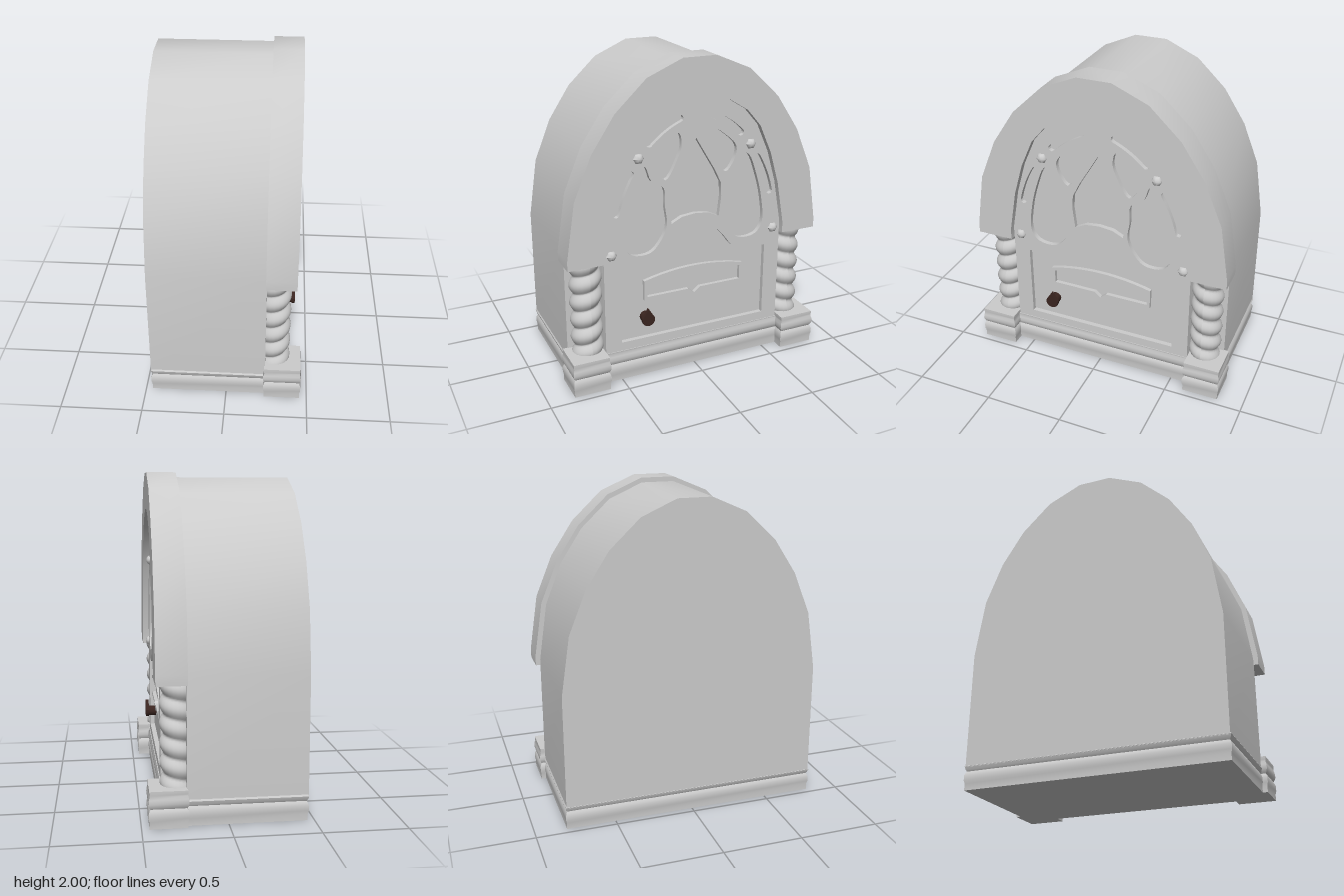
import * as THREE from 'three';
import { toCreasedNormals } from 'three/addons/utils/BufferGeometryUtils.js';

const grey = new THREE.MeshStandardMaterial({ color: 0xcccccc });
const brown = new THREE.MeshStandardMaterial({ color: 0x3a2520 });

const V = (pts) => pts.map(([x, y]) => new THREE.Vector2(x, y));
const mirror = (pts) => pts.map(([x, y]) => [-x, y]);
// Right half listed from bottom to top -> full symmetrical outline
const symmetric = (half) => [...half, ...mirror(half).reverse().filter(([x]) => x !== 0)];
const smooth = (pts, n = 24, closed = false) => {
  const c = new THREE.CatmullRomCurve3(pts.map(([x, y]) => new THREE.Vector3(x, y, 0)), closed);
  const out = c.getPoints(n).map((p) => [p.x, p.y]);
  if (closed) out.pop();
  return out;
};
// Rounded slot around a slightly bowed centre line
const slot = ([x0, y0], [x1, y1], r, bow) => {
  const dx = x1 - x0, dy = y1 - y0, len = Math.hypot(dx, dy), ux = dx / len, uy = dy / len;
  const local = [];
  for (let i = 0; i <= 6; i++) {
    const t = i / 6;
    local.push([t * len, -r + bow * 4 * t * (1 - t)]);
  }
  for (let i = 1; i < 6; i++) {
    const a = -Math.PI / 2 + (i * Math.PI) / 6;
    local.push([len + r * Math.cos(a), r * Math.sin(a)]);
  }
  for (let i = 6; i >= 0; i--) {
    const t = i / 6;
    local.push([t * len, r + bow * 4 * t * (1 - t)]);
  }
  for (let i = 1; i < 6; i++) {
    const a = Math.PI / 2 + (i * Math.PI) / 6;
    local.push([r * Math.cos(a), r * Math.sin(a)]);
  }
  return local.map(([a, b]) => [x0 + a * ux - b * uy, y0 + a * uy + b * ux]);
};

export function createModel() {
  const model = new THREE.Group();
  const cabinet = new THREE.Group();
  cabinet.name = 'cabinet';
  cabinet.rotation.y = Math.PI / 2; // the decorated face looks along +x
  model.add(cabinet);

  const add = (name, geo, mat = grey) => {
    const m = new THREE.Mesh(geo, mat);
    m.name = name;
    cabinet.add(m);
    return m;
  };
  const slab = (name, outline, z0, z1, holes = [], mat = grey) => {
    const s = new THREE.Shape(V(outline));
    s.holes = holes.map((h) => new THREE.Path(V(h)));
    const g = new THREE.ExtrudeGeometry(s, { depth: z1 - z0, bevelEnabled: false });
    g.translate(0, 0, z0);
    return add(name, toCreasedNormals(g, 0.5), mat);
  };

  // Arched body
  slab('body', symmetric([[0.805, 0.14], [0.805, 0.86], [0.75, 1.225], [0.645, 1.485],
    [0.505, 1.7], [0.32, 1.875], [0.105, 1.97]]), -0.465, 0.24);

  // Heavy arch around the front
  const outer = [[0.835, 0.82], [0.835, 0.88], [0.78, 1.235], [0.67, 1.5], [0.525, 1.72], [0.33, 1.905], [0.107, 2]];
  const inner = [[0.6, 0.82], [0.6, 0.89], [0.55, 1.165], [0.49, 1.37], [0.41, 1.55],
    [0.32, 1.655], [0.2, 1.73], [0.07, 1.775]];
  slab('frontArch', [...symmetric(outer), ...symmetric(inner).reverse()], 0.235, 0.415);

  // Front panel with tracery openings, slots and a recessed control field
  const panelOutline = symmetric([[0.6, 0.2], ...inner.slice(1)]);
  const crown = smooth([[0.33, 0.74], [0.26, 0.775], [0.2, 0.85], [0.13, 0.92], [0, 0.95],
    [-0.13, 0.92], [-0.2, 0.85], [-0.26, 0.775], [-0.33, 0.74]], 28);
  const field = [[-0.495, 0.255], [0.495, 0.255], [0.495, 0.74], ...crown, [-0.495, 0.74]];
  const centreOpening = symmetric([[0, 1.035], [0.09, 1.025], [0.16, 0.99], [0.175, 1.12],
    [0.17, 1.21], [0.125, 1.3], [0, 1.51]]);
  const sideOpening = smooth([[0.33, 1.375], [0.29, 1.28], [0.21, 1.225], [0.203, 1.11], [0.19, 0.99],
    [0.225, 0.9], [0.3, 0.825], [0.42, 0.83], [0.47, 0.9], [0.46, 1.06], [0.42, 1.22], [0.36, 1.365]], 48, true);
  const upperOpening = smooth([[0.27, 1.43], [0.2, 1.505], [0.115, 1.555], [0.095, 1.48], [0.12, 1.4],
    [0.2, 1.275], [0.265, 1.36]], 35, true);
  const topSlot = slot([0.3, 1.51], [0.105, 1.64], 0.021, -0.012);
  const sideSlot = slot([0.515, 1.105], [0.42, 1.34], 0.021, -0.01);
  const paired = [sideOpening, upperOpening, topSlot, sideSlot];
  slab('frontPanel', panelOutline, 0.345, 0.375,
    [field, centreOpening, ...paired, ...paired.map(mirror)]);
  slab('panelBacking', panelOutline, 0.23, 0.345);

  // Dial window: raised frame with arched top and pointed lower lip
  const dial = (w, y0, y1, rise, tip, tipW) => {
    const p = [[-w, y0], [-tipW, y0], [0, tip], [tipW, y0], [w, y0]];
    for (let i = 0; i <= 12; i++) {
      const t = 1 - i / 6;
      p.push([w * t, y1 + rise * (1 - t * t)]);
    }
    return p;
  };
  slab('dialFrame', dial(0.34, 0.51, 0.64, 0.045, 0.475, 0.045), 0.34, 0.37,
    [dial(0.32, 0.53, 0.622, 0.042, 0.497, 0.04)]);

  // Teardrop knob on a short spindle
  const drop = [[0, 0.075]];
  for (let i = 0; i <= 8; i++) {
    const a = Math.PI * (0.92 + (i * 1.16) / 8);
    drop.push([0.042 * Math.cos(a), 0.042 * Math.sin(a)]);
  }
  const knob = slab('knob', drop, 0.395, 0.415, [], brown);
  knob.position.set(-0.33, 0.395, 0);
  const spindle = add('knobSpindle', new THREE.CylinderGeometry(0.034, 0.034, 0.06, 12), brown);
  spindle.rotation.x = Math.PI / 2;
  spindle.position.set(-0.33, 0.393, 0.37);

  // Moulded plinth pieces: a box whose rings follow a profile of [height, outset]
  const profile = [[0, 0], [0.04, 0], [0.06, 0.005], [0.09, 0.005], [0.105, 0], [0.115, -0.006],
    [0.125, 0], [0.145, 0.006], [0.17, 0.004], [0.19, -0.002], [0.2, 0], [0.22, 0]];
  const plinth = (name, x0, x1, z0, z1, prof) => {
    const n = prof.length - 1;
    const g = new THREE.BoxGeometry(1, 1, 1, 1, n, 1);
    const p = g.attributes.position;
    for (let i = 0; i < p.count; i++) {
      const [y, o] = prof[Math.round((p.getY(i) + 0.5) * n)];
      p.setXYZ(i, p.getX(i) > 0 ? x1 + o : x0 - o, y, p.getZ(i) > 0 ? z1 + o : z0 - o);
    }
    add(name, toCreasedNormals(g, 0.6));
  };
  plinth('bodyPlinth', -0.805, 0.805, -0.46, 0.24, profile.slice(0, 8).concat([[0.155, 0]]));
  plinth('frontPlinth', -0.61, 0.61, 0.2, 0.38, profile.slice(0, 11));

  // Rope-twisted column with its plinth block and rosettes, on each side
  for (const side of [-1, 1]) {
    const a = side * 0.605, b = side * 0.835;
    plinth('columnPlinth', Math.min(a, b), Math.max(a, b), 0.235, 0.455, profile);

    const rope = new THREE.CylinderGeometry(0.1, 0.1, 0.62, 24, 80, true);
    const p = rope.attributes.position;
    for (let i = 0; i < p.count; i++) {
      const x = p.getX(i), y = p.getY(i), z = p.getZ(i);
      const turn = y / 0.115 + (side * Math.atan2(x, z)) / (2 * Math.PI);
      const f = turn - Math.floor(turn);
      const k = 0.76 + 0.25 * Math.sin(Math.PI * f);
      p.setXYZ(i, x * k, y, z * k);
    }
    rope.computeVertexNormals();
    add('twistedColumn', rope).position.set(side * 0.69, 0.52, 0.287);

    for (const [x, y] of [[0.37, 1.43], [0.55, 0.85]]) {
      const g = new THREE.SphereGeometry(0.034, 12, 5, 0, Math.PI * 2, 0, Math.PI / 2);
      const q = g.attributes.position;
      for (let i = 0; i < q.count; i++) {
        const k = 0.92 + 0.08 * Math.cos(6 * Math.atan2(q.getZ(i), q.getX(i)));
        q.setXYZ(i, q.getX(i) * k, q.getY(i) * 0.7, q.getZ(i) * k);
      }
      g.computeVertexNormals();
      const rosette = add('rosette', g);
      rosette.rotation.x = Math.PI / 2;
      rosette.position.set(side * x, y, 0.374);
    }
  }
  return model;
}
